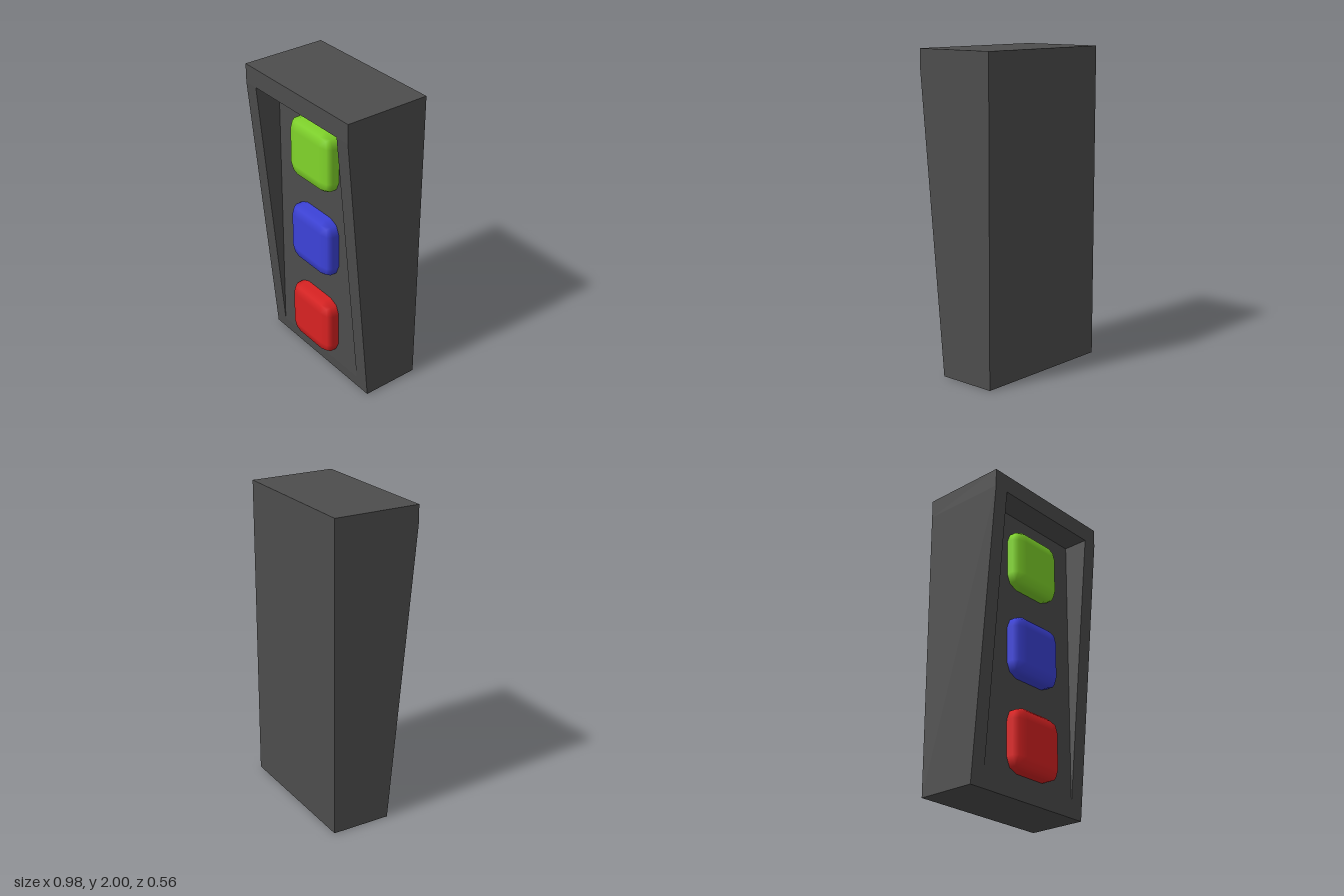
import * as THREE from 'three';
import { RoundedBoxGeometry } from 'three/addons/geometries/RoundedBoxGeometry.js';

const W = 0.49, R = 0.39;            // half widths of housing and recess
const TOP = 2, LIP = 1.88, SILL = 0.08;
const BACK = -0.28, FRONT = 0.28, FOOT = 0.105;
// depth of the sloping front at a given height
const slope = y => FOOT + (FRONT - FOOT) * Math.min(y / LIP, 1);

// Closed housing: sloping front with an upright recessed panel
function housingGeometry() {
  const pos = [];
  const quad = (a, b, c, d) => pos.push(...a, ...b, ...c, ...a, ...c, ...d);
  // a quad spanning the full width between two (y, z) lines
  const span = (w, y0, z0, y1, z1) =>
    quad([-w, y0, z0], [w, y0, z0], [w, y1, z1], [-w, y1, z1]);
  // a quad on the +x half together with its mirror image
  const pair = (...q) => {
    quad(...q);
    quad(...q.map(([x, y, z]) => [-x, y, z]).reverse());
  };
  const P = slope(SILL);
  span(W, 0, BACK, 0, FOOT);               // underside
  span(W, LIP, FRONT, TOP, FRONT);         // front lintel
  span(W, TOP, FRONT, TOP, BACK);          // top
  span(W, TOP, BACK, 0, BACK);             // back
  span(R, 0, FOOT, SILL, P);               // sill
  span(R, SILL, P, LIP, P);                // recessed panel
  span(R, LIP, P, LIP, FRONT);             // recess ceiling
  // outer sides
  pair([W, 0, FOOT], [W, 0, BACK], [W, LIP, BACK], [W, LIP, FRONT]);
  pair([W, LIP, FRONT], [W, LIP, BACK], [W, TOP, BACK], [W, TOP, FRONT]);
  // front rails
  pair([R, 0, FOOT], [W, 0, FOOT], [W, LIP, FRONT], [R, LIP, FRONT]);
  // tapering recess walls
  const wall = [[R, SILL, P], [R, LIP, FRONT], [R, LIP, P]];
  pos.push(...wall.flat());
  pos.push(...wall.map(([x, y, z]) => [-x, y, z]).reverse().flat());

  const g = new THREE.BufferGeometry();
  g.setAttribute('position', new THREE.Float32BufferAttribute(pos, 3));
  g.computeVertexNormals();
  return g;
}

export function createModel() {
  const model = new THREE.Group();
  model.name = 'buttonPanel';

  const housing = new THREE.Mesh(
    housingGeometry(), new THREE.MeshStandardMaterial({ color: 0x4d4d4d }));
  housing.name = 'housing';
  model.add(housing);

  // Three rounded square buttons, seated in the panel
  const buttonGeometry = new RoundedBoxGeometry(0.4, 0.4, 0.4, 1, 0.085);
  buttonGeometry.scale(1, 1, 0.5);
  const buttons = [
    ['greenButton', 1.557, 0x80d42a],
    ['blueButton', 0.953, 0x3c42d8],
    ['redButton', 0.35, 0xd92222],
  ];
  for (const [name, y, color] of buttons) {
    const button = new THREE.Mesh(
      buttonGeometry, new THREE.MeshStandardMaterial({ color }));
    button.name = name;
    button.position.set(0, y, 0.1);
    model.add(button);
  }
  return model;
}
